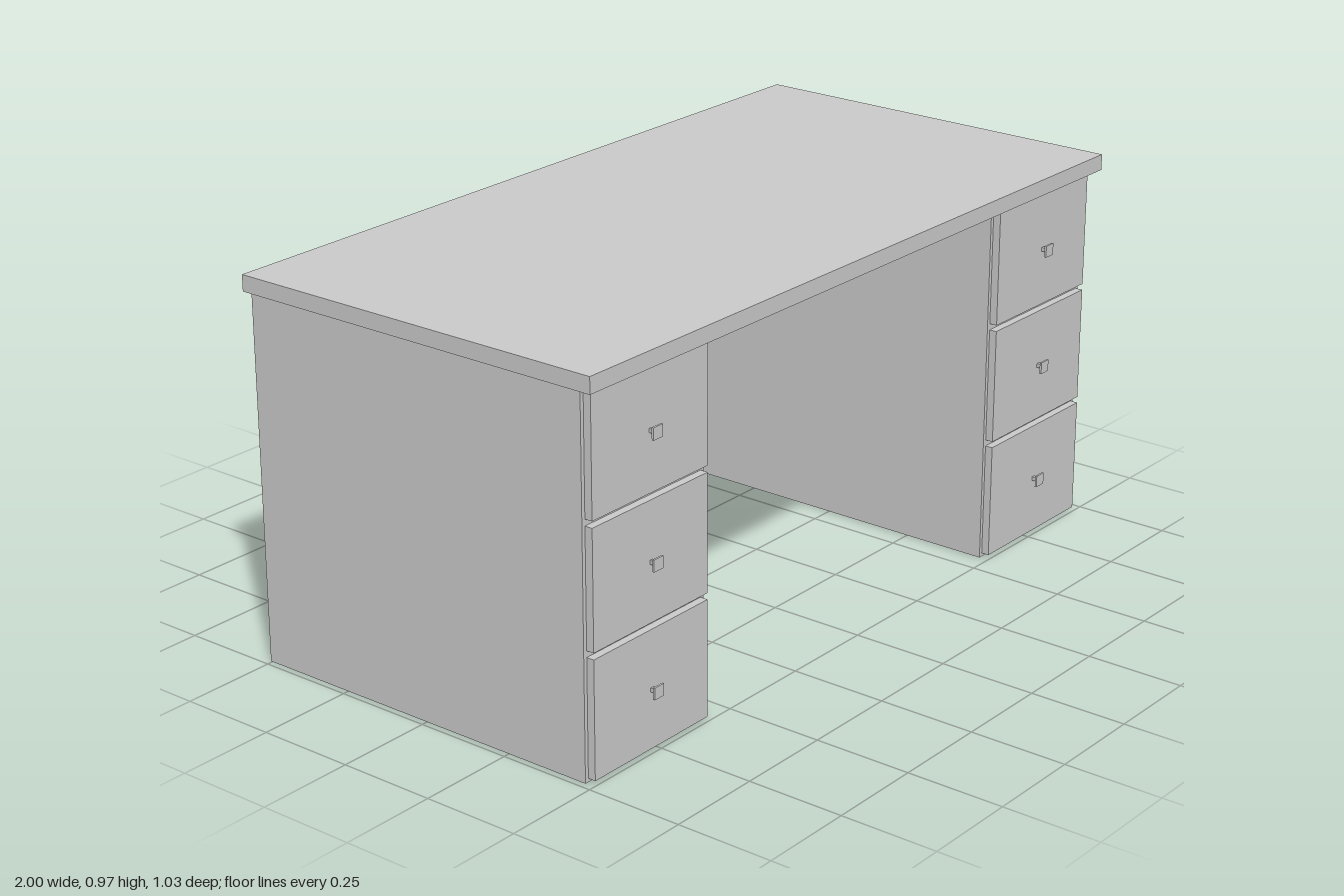
import * as THREE from 'three';

const material = new THREE.MeshStandardMaterial({ color: 0xcccccc });

// Box given by its minimum and maximum corners
function box(name, [x0, y0, z0], [x1, y1, z1]) {
  const mesh = new THREE.Mesh(new THREE.BoxGeometry(x1 - x0, y1 - y0, z1 - z0), material);
  mesh.position.set((x0 + x1) / 2, (y0 + y1) / 2, (z0 + z1) / 2);
  mesh.name = name;
  return mesh;
}

// Drawer front with a stem and a square pull, centred on x = 0
function createDrawer(bottom, top) {
  const drawer = new THREE.Group();
  drawer.name = 'drawer';
  const y = (bottom + top) / 2;
  drawer.add(
    box('drawerFront', [-0.198, bottom, 0.475], [0.198, top, 0.495]),
    box('knobStem', [-0.005, y - 0.005, 0.495], [0.005, y + 0.005, 0.511]),
    box('knobPlate', [-0.016, y - 0.015, 0.511], [0.016, y + 0.015, 0.516])
  );
  return drawer;
}

// Cabinet with three stacked drawers
function createPedestal(name) {
  const pedestal = new THREE.Group();
  pedestal.name = name;
  pedestal.add(box('cabinet', [-0.208, 0, -0.505], [0.208, 0.933, 0.475]));
  for (let i = 0; i < 3; i++) {
    const bottom = 0.009 + i * 0.311;
    pedestal.add(createDrawer(bottom, bottom + 0.295));
  }
  return pedestal;
}

export function createModel() {
  const desk = new THREE.Group();
  desk.name = 'desk';

  desk.add(box('desktop', [-1, 0.933, -0.516], [1, 0.974, 0.516]));

  const left = createPedestal('leftPedestal');
  left.position.x = 0.771;
  const right = createPedestal('rightPedestal');
  right.position.x = -0.776;
  desk.add(left, right);

  // Panel closing the back of the knee space
  desk.add(box('modestyPanel', [-0.568, 0.315, -0.505], [0.563, 0.933, -0.482]));

  return desk;
}
